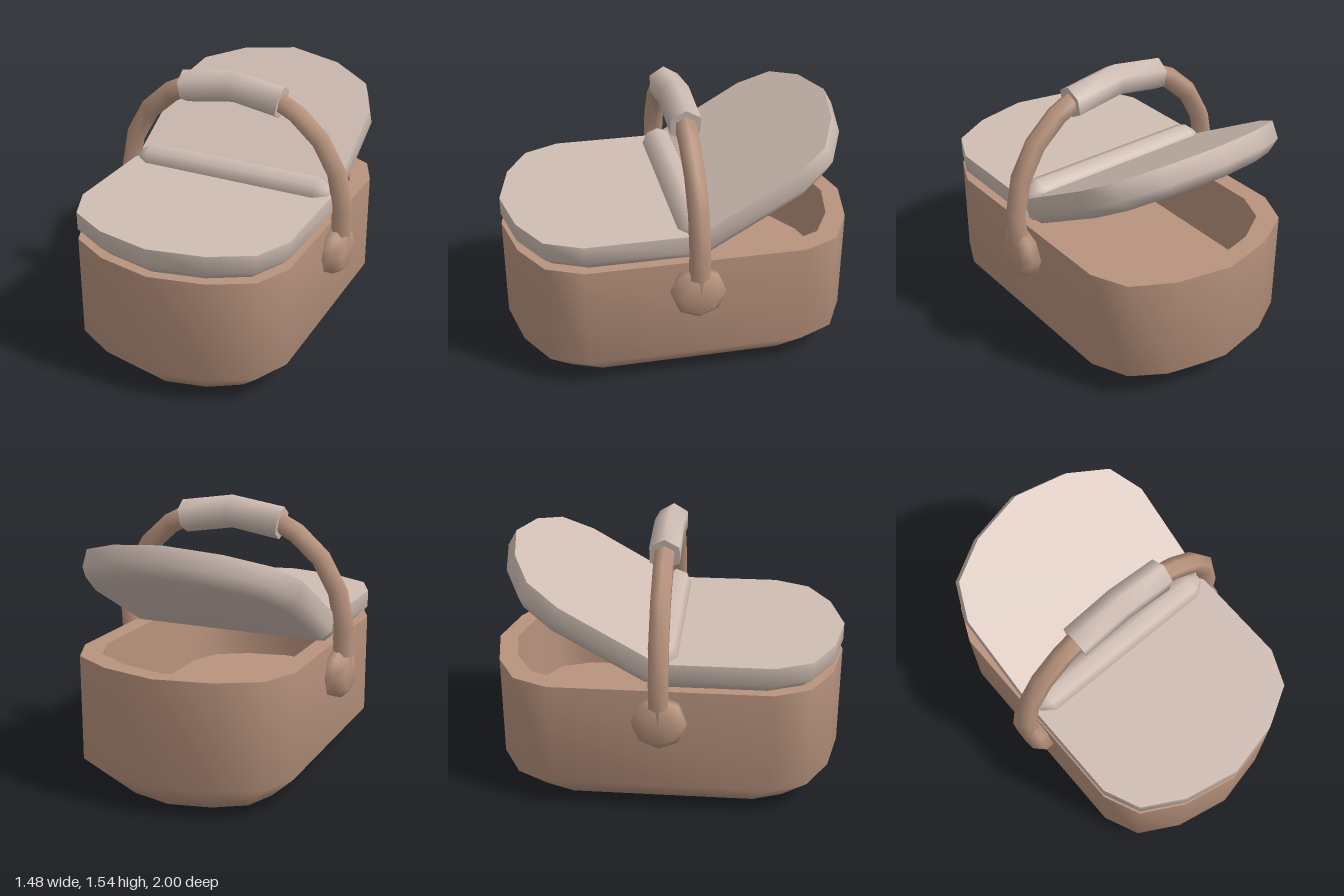
import * as THREE from 'three';

// Surface through a list of closed rings of [x, y, z] points
function loft(rings) {
  const n = rings[0].length, index = [];
  for (let r = 0; r < rings.length - 1; r++) {
    for (let i = 0; i < n; i++) {
      const j = (i + 1) % n;
      const a = r * n + i, b = r * n + j, c = a + n, d = b + n;
      index.push(a, b, c, b, d, c);
    }
  }
  const g = new THREE.BufferGeometry();
  g.setAttribute('position', new THREE.Float32BufferAttribute(rings.flat(2), 3));
  g.setIndex(index);
  g.computeVertexNormals();
  return g;
}

// Rounded end of the plan, running from +x to -x around -z
const END = [[0.625, -0.61], [0.535, -0.81], [0.31, -0.935], [0, -1],
  [-0.31, -0.935], [-0.535, -0.81], [-0.625, -0.61]];
const inset = (pts, d, y) => pts.map(([x, z]) => [x * (1 - d / 0.625), y, z * (1 - d)]);
const collapse = (ring, x, y, z) => ring.map(() => [x, y, z]);

// Six-sided bar swept along a path in the xy plane
function sweep(path, radius, capped) {
  const rings = path.map(([x, y], k) => {
    const p = path[Math.max(k - 1, 0)], q = path[Math.min(k + 1, path.length - 1)];
    const len = Math.hypot(q[0] - p[0], q[1] - p[1]);
    const nx = (q[1] - p[1]) / len, ny = -(q[0] - p[0]) / len;
    return Array.from({ length: 6 }, (_, i) => {
      const a = i * Math.PI / 3, c = radius * Math.cos(a);
      return [x + nx * c, y + ny * c, -radius * Math.sin(a)];
    });
  });
  if (capped) {
    const first = rings[0], last = rings[rings.length - 1];
    rings.unshift(collapse(first, ...path[0], 0), first);
    rings.push(last, collapse(last, ...path[path.length - 1], 0));
  }
  return loft(rings);
}

const lathe = (pts) => new THREE.LatheGeometry(pts.map(([r, y]) => new THREE.Vector2(r, y)), 8);

export function createModel() {
  const model = new THREE.Group();
  model.name = 'picnicBasket';
  const brown = new THREE.MeshStandardMaterial({ color: 0xb8937d });
  brown.name = 'warmBrown';
  const beige = new THREE.MeshStandardMaterial({ color: 0xcfbdb3 });
  beige.name = 'paleBeige';
  const add = (name, geometry, material) => {
    const mesh = new THREE.Mesh(geometry, material);
    mesh.name = name;
    model.add(mesh);
    return mesh;
  };

  // Hollow body: chamfered base, walls, rim, inner walls and floor
  const plan = [...END, ...END.map(([x, z]) => [-x, -z])];
  const rim = inset(plan, 0, 0.75), mouth = inset(plan, 0.105, 0.75);
  const floor = inset(plan, 0.105, 0.34);
  add('body', loft([
    collapse(plan, 0, 0, 0), inset(plan, 0.16, 0), inset(plan, 0, 0.16), rim,
    rim, mouth,
    mouth, floor,
    floor, collapse(plan, 0, 0.34, 0),
  ]), brown);

  // Lids: half plan with a flat cut at the hinge, pivoting on the top edge
  const corner = [0.625, 0];
  const half = [corner, ...END, [-0.625, 0], [-0.625, 0], corner];
  const lidTop = inset(half, 0, 0);
  const lidGeometry = loft([
    collapse(half, 0, -0.16, -0.4), inset(half, 0.06, -0.16), inset(half, 0, -0.1), lidTop,
    lidTop, collapse(half, 0, 0, -0.4),
  ]);
  const closedLid = add('frontLid', lidGeometry, beige);
  closedLid.position.y = 0.91;
  closedLid.rotation.y = Math.PI;
  const openLid = add('openBackLid', lidGeometry, beige);
  openLid.position.y = 0.91;
  openLid.rotation.x = Math.PI / 6;

  // Hinge bar across the middle
  const bar = add('hingeBar', lathe([[0, -0.6], [0.035, -0.6], [0.09, -0.53],
    [0.09, 0.53], [0.035, 0.6], [0, 0.6]]), beige);
  bar.position.y = 0.91;
  bar.rotation.z = -Math.PI / 2;

  // Arched handle and its grip
  const side = [[0.665, 0.58], [0.68, 0.83], [0.638, 1.04], [0.535, 1.22], [0.39, 1.35], [0.28, 1.405]];
  const mirrored = side.map(([x, y]) => [-x, y]).reverse();
  add('handle', sweep([...side, [0, 1.447], ...mirrored], 0.06, false), brown);
  add('handleGrip', sweep([[0.3, 1.4], [0, 1.447], [-0.3, 1.4]], 0.094, true), beige);

  // Round knobs holding the handle
  const knobGeometry = lathe([[0, 0.6], [0.15, 0.6], [0.15, 0.675], [0.1, 0.725], [0, 0.725]]);
  for (const s of [1, -1]) {
    const knob = add(s > 0 ? 'leftKnob' : 'rightKnob', knobGeometry, brown);
    knob.position.y = 0.58;
    knob.rotation.z = -s * Math.PI / 2;
  }
  return model;
}
